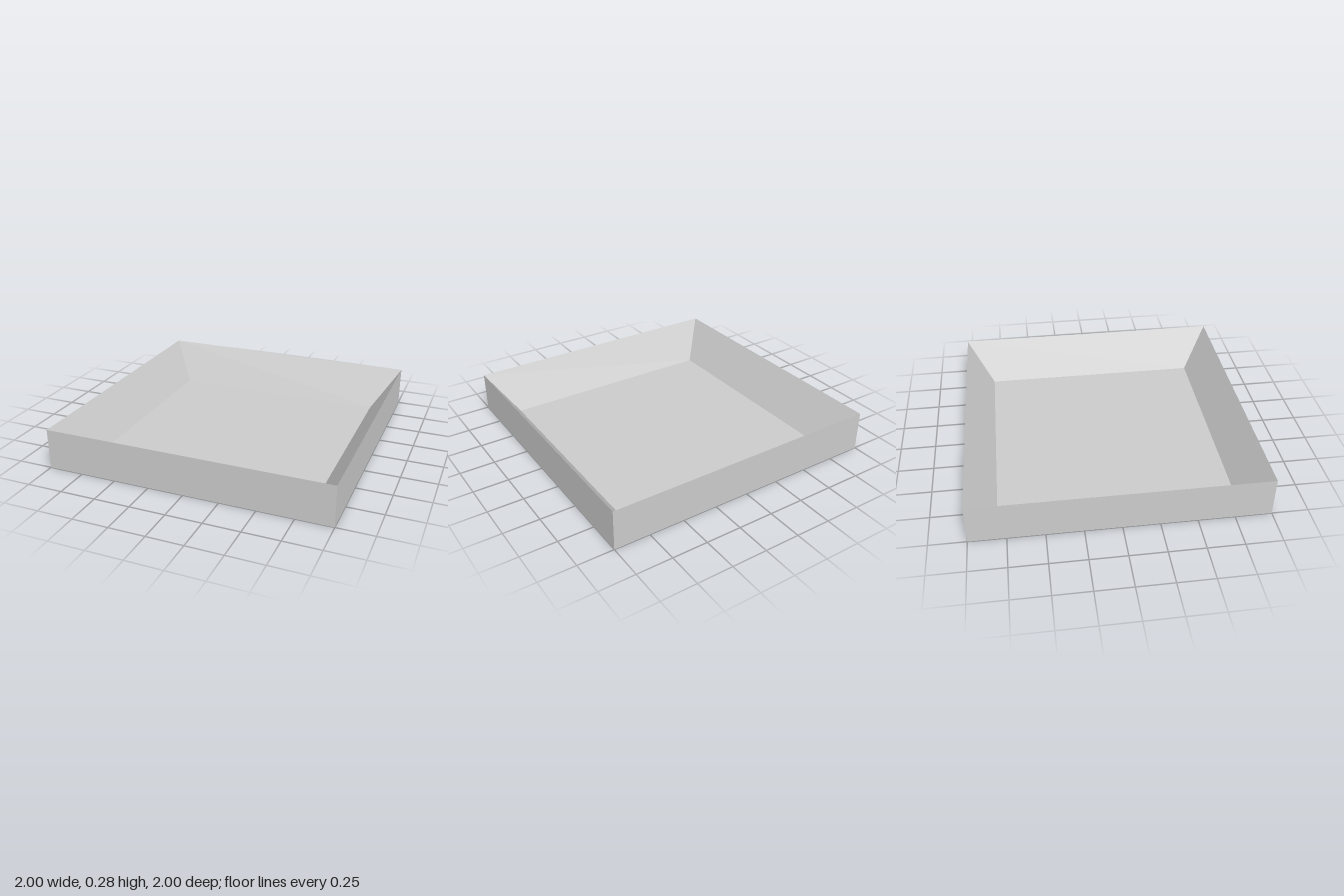
import * as THREE from 'three';

const HALF = 1;        // half width of the outer walls
const INNER = 0.807;   // half width of the floor
const HEIGHT = 0.285;

export function createModel() {
  const group = new THREE.Group();
  group.name = 'tray';
  const material = new THREE.MeshStandardMaterial({ color: 0xcccccc, flatShading: true });

  // Rim: wedge section (flat underside, upright outside, sloping inside) swept round a square
  const profile = [[INNER, 0], [HALF, 0], [HALF, HEIGHT], [INNER, 0]]
    .map(([r, y]) => new THREE.Vector2(r * Math.SQRT2, y));
  const rimGeometry = new THREE.LatheGeometry(profile, 4).rotateY(Math.PI / 4).toNonIndexed();
  rimGeometry.computeVertexNormals();
  const rim = new THREE.Mesh(rimGeometry, material);
  rim.name = 'slopedRim';
  group.add(rim);

  // Floor: thin sheet seen from above and below
  const floorMaterial = material.clone();
  floorMaterial.side = THREE.DoubleSide;
  const floor = new THREE.Mesh(
    new THREE.PlaneGeometry(2 * INNER, 2 * INNER).rotateX(-Math.PI / 2),
    floorMaterial
  );
  floor.name = 'floor';
  group.add(floor);

  return group;
}
